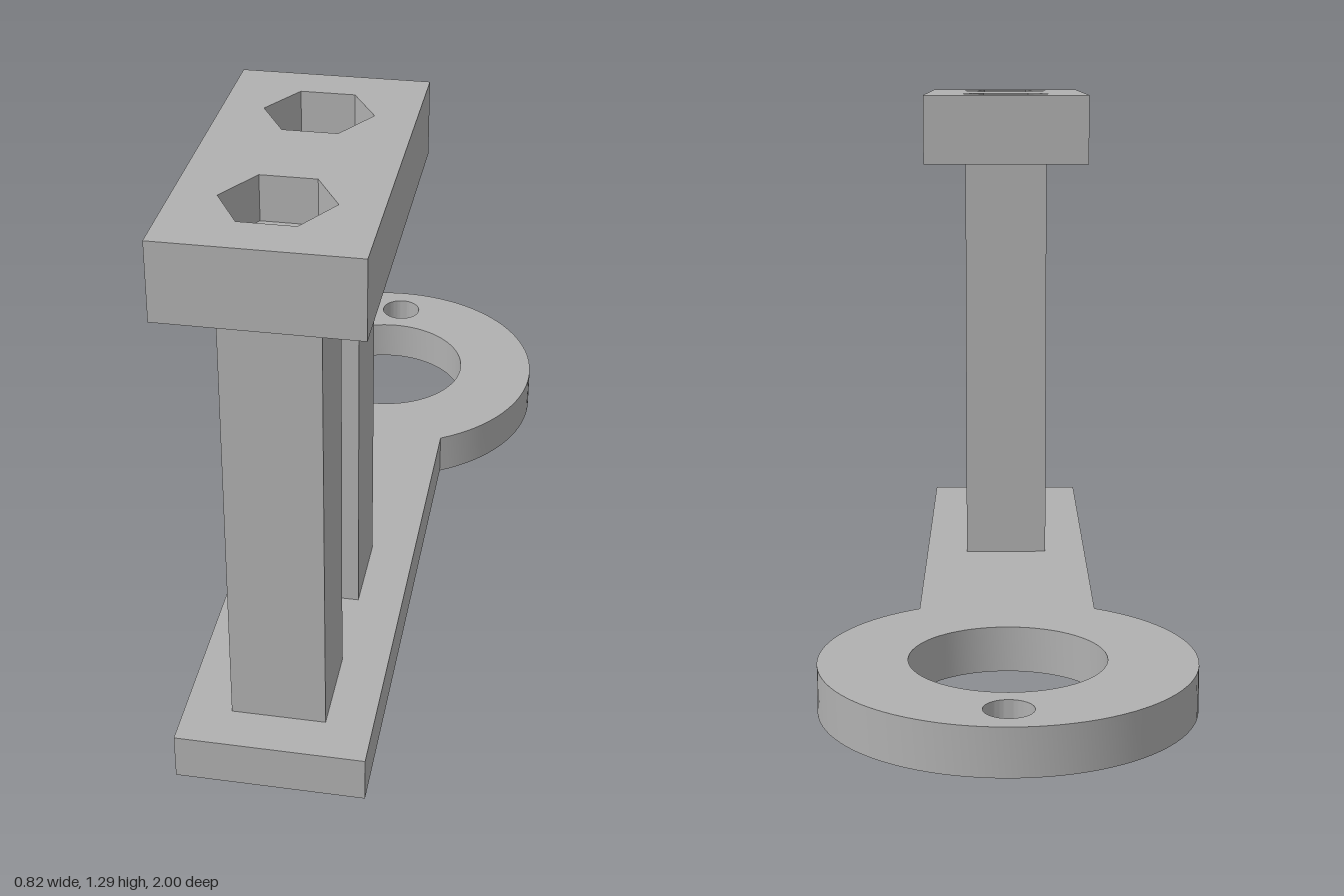
import * as THREE from 'three';
import { toCreasedNormals } from 'three/addons/utils/BufferGeometryUtils.js';

const HALF_W = 0.206;          // half width of arm and head
const BASE_H = 0.105;
const HEAD_Y = 1.125, HEAD_TOP = 1.295, POCKET_Y = 1.195;
const POSTS = [0.375, 0.795];  // z centres of the posts
const BOLT_R = 0.06, NUT_R = 0.117;

// Plan shapes are drawn with shape y = -z, then raised from y0 to y1.
function raise(shape, y0, y1) {
  const g = new THREE.ExtrudeGeometry(shape, { depth: y1 - y0, bevelEnabled: false, curveSegments: 40 });
  g.rotateX(-Math.PI / 2).translate(0, y0, 0);
  return toCreasedNormals(g, 0.5);
}

function rect(halfW, z0, z1) {
  return new THREE.Shape([[-halfW, -z1], [halfW, -z1], [halfW, -z0], [-halfW, -z0]]
    .map(([x, y]) => new THREE.Vector2(x, y)));
}

function roundHole(z, r) {
  return new THREE.Path().absarc(0, -z, r, 0, Math.PI * 2, true);
}

// Hexagon with corners pointing to the sides
function hexHole(z, r) {
  const pts = [];
  for (let i = 0; i < 6; i++) {
    const a = -i * Math.PI / 3;
    pts.push(new THREE.Vector2(r * Math.cos(a), -z + r * Math.sin(a)));
  }
  return new THREE.Path(pts);
}

export function createModel() {
  const model = new THREE.Group();
  model.name = 'bracket';
  const grey = new THREE.MeshStandardMaterial({ color: 0xb0b0b0 });
  grey.name = 'grey plastic';
  const add = (name, geometry) => {
    const mesh = new THREE.Mesh(geometry, grey);
    mesh.name = name;
    model.add(mesh);
  };

  // Base: straight arm ending in a ring
  const ringZ = -0.588, ringR = 0.412;
  const a = Math.acos(HALF_W / ringR);
  const base = new THREE.Shape();
  base.moveTo(-HALF_W, -1);
  base.lineTo(HALF_W, -1);
  base.absarc(0, -ringZ, ringR, -a, Math.PI + a, false);
  base.closePath();
  base.holes.push(roundHole(ringZ, 0.216), roundHole(-0.9, 0.053));
  add('baseArmAndRing', raise(base, 0, BASE_H));

  // Square posts with bolt bores
  POSTS.forEach((z, i) => {
    const post = rect(0.103, z - 0.103, z + 0.103);
    post.holes.push(roundHole(z, BOLT_R));
    add(i ? 'frontPost' : 'rearPost', raise(post, BASE_H, HEAD_Y));
  });

  // Head: lower layer with bolt bores, upper layer with hexagonal nut pockets
  const lower = rect(HALF_W, 0.175, 1);
  const upper = rect(HALF_W, 0.175, 1);
  for (const z of POSTS) {
    lower.holes.push(roundHole(z, BOLT_R));
    upper.holes.push(hexHole(z, NUT_R));
  }
  add('headLower', raise(lower, HEAD_Y, POCKET_Y));
  add('headNutPockets', raise(upper, POCKET_Y, HEAD_TOP));

  return model;
}
